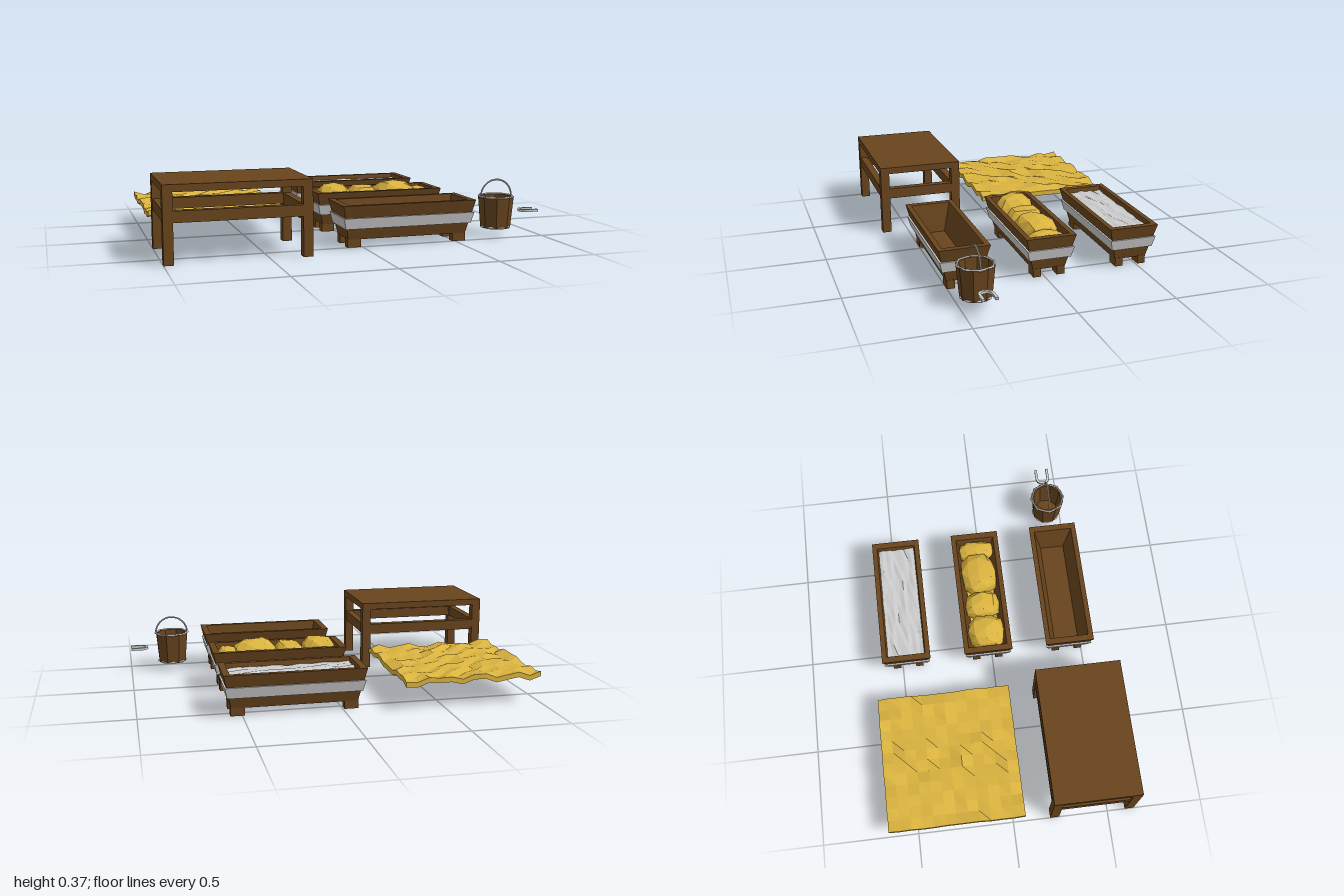
import * as THREE from 'three';

const WOOD = 0x68441d, STRAW = 0xdab33f, GREY = 0xcccccc;
const mat = (color) => new THREE.MeshStandardMaterial({ color, flatShading: true });
const wood = mat(WOOD), straw = mat(STRAW), grey = mat(GREY);

function add(parent, name, geo, material, x = 0, y = 0, z = 0) {
  const m = new THREE.Mesh(geo, material);
  m.name = name;
  m.position.set(x, y, z);
  parent.add(m);
  return m;
}
function group(parent, name, x = 0, y = 0, z = 0) {
  const g = new THREE.Group();
  g.name = name;
  g.position.set(x, y, z);
  parent.add(g);
  return g;
}
const box = (w, h, d) => new THREE.BoxGeometry(w, h, d);

// repeatable noise in -1..1 from a position
function noise(x, y, z) {
  const s = Math.sin(Math.round(x * 500) * 12.9898 + Math.round(y * 500) * 37.719 + Math.round(z * 500) * 78.233) * 43758.5453;
  return (s - Math.floor(s)) * 2 - 1;
}

// skin over rectangular rings [halfX, y, halfZ], ordered from the outside bottom upwards
function loft(rings) {
  const corner = [[1, 1], [1, -1], [-1, -1], [-1, 1]], pos = [];
  const p = ([hx, y, hz], k) => [corner[k % 4][0] * hx, y, corner[k % 4][1] * hz];
  for (let i = 0; i < rings.length - 1; i++) {
    for (let k = 0; k < 4; k++) {
      const a = p(rings[i], k), b = p(rings[i], k + 1), c = p(rings[i + 1], k + 1), d = p(rings[i + 1], k);
      pos.push(...a, ...b, ...c, ...a, ...c, ...d);
    }
  }
  const g = new THREE.BufferGeometry();
  g.setAttribute('position', new THREE.Float32BufferAttribute(pos, 3));
  g.computeVertexNormals();
  return g;
}

// slab whose top and bottom ripple together
function rippledSlab(w, h, d, nx, nz, amp) {
  const g = new THREE.BoxGeometry(w, h, d, nx, 1, nz), p = g.attributes.position;
  for (let i = 0; i < p.count; i++) {
    p.setY(i, p.getY(i) + amp * noise(p.getX(i), 0, p.getZ(i)));
  }
  g.computeVertexNormals();
  return g;
}

// faceted, slightly boxy heap
function lump(rx, ry, rz) {
  const g = new THREE.IcosahedronGeometry(1, 1), p = g.attributes.position;
  const bulge = (v) => Math.sign(v) * Math.pow(Math.abs(v), 0.75);
  for (let i = 0; i < p.count; i++) {
    const x = p.getX(i), y = p.getY(i), z = p.getZ(i);
    const r = 1 + 0.07 * noise(x + rx, y, z);
    p.setXYZ(i, bulge(x) * rx * r, y * ry * r, bulge(z) * rz * r);
  }
  g.computeVertexNormals();
  return g;
}

function buildTable(root) {
  const W = 0.705, D = 0.445, L = 0.047, t = group(root, 'table', -0.647, 0, 0.418);
  add(t, 'tableTop', box(W, 0.035, D), wood, 0, 0.3545, 0);
  for (const s of [-1, 1]) {
    for (const f of [-1, 1]) {
      add(t, 'tableLeg', box(L, 0.337, L), wood, s * (W - L) / 2, 0.1685, f * (D - L) / 2);
    }
    add(t, 'longRail', box(W - 2 * L, 0.055, 0.04), wood, 0, 0.2225, s * (D - L) / 2);
    add(t, 'shortRail', box(0.04, 0.055, D - 2 * L), wood, s * (W - L) / 2, 0.2225, 0);
  }
}

function buildTrough(root, name, z) {
  const t = group(root, name, 0.24, 0, z);
  add(t, 'troughBody', loft([
    [0, 0.04, 0], [0.315, 0.04, 0.084], [0.353, 0.216, 0.13],
    [0.32, 0.216, 0.104], [0.286, 0.065, 0.065], [0, 0.065, 0],
  ]), wood);
  add(t, 'metalBand', loft([
    [0.325, 0.096, 0.096], [0.335, 0.096, 0.109], [0.348, 0.152, 0.123],
    [0.337, 0.152, 0.11], [0.325, 0.096, 0.096],
  ]), grey);
  for (const s of [-1, 1]) {
    for (const f of [-1, 1]) {
      add(t, 'troughFoot', box(0.07, 0.045, 0.041), wood, s * 0.283, 0.0225, f * 0.062);
    }
  }
  return t;
}

function buildBucket(root) {
  const b = group(root, 'bucket', 0.77, 0, 0.418);
  const profile = [[0, 0.045], [0.078, 0.045], [0.093, 0.21], [0.079, 0.21], [0.066, 0.06], [0, 0.06]];
  const body = add(b, 'bucketBody', new THREE.LatheGeometry(profile.map(([r, y]) => new THREE.Vector2(r, y)), 8), wood);
  body.rotation.y = Math.PI / 8;
  // hoops at rim and foot
  for (const [r, y] of [[0.091, 0.209], [0.076, 0.049]]) {
    add(b, 'bucketHoop', new THREE.TorusGeometry(r, 0.006, 4, 8), grey, 0, y, 0).rotation.x = Math.PI / 2;
  }
  add(b, 'bucketHandle', new THREE.TorusGeometry(0.088, 0.0045, 6, 16, Math.PI), grey, 0, 0.209, 0);
}

function buildHorseshoe(root) {
  const R = 0.039, r = 0.025, s = new THREE.Shape();
  s.moveTo(0.056, R);
  s.lineTo(0, R);
  s.absarc(0, 0, R, Math.PI / 2, Math.PI * 1.5, false);
  s.lineTo(0.056, -R);
  s.lineTo(0.056, -r);
  s.lineTo(0, -r);
  s.absarc(0, 0, r, Math.PI * 1.5, Math.PI / 2, true);
  s.lineTo(0.056, r);
  const geo = new THREE.ExtrudeGeometry(s, { depth: 0.013, bevelEnabled: false, curveSegments: 8 });
  add(root, 'horseshoe', geo, grey, 0.943, 0.121, 0.418).rotation.x = -Math.PI / 2;
}

export function createModel() {
  const root = new THREE.Group();
  root.name = 'stableFurniture';

  buildTable(root);
  add(root, 'strawMat', rippledSlab(0.705, 0.026, 0.705, 12, 12, 0.012), straw, -0.647, 0.14, -0.292);

  buildTrough(root, 'emptyTrough', 0.418);
  const feed = buildTrough(root, 'feedTrough', -0.025);
  const water = buildTrough(root, 'waterTrough', -0.468);

  // four heaps of feed
  for (const [x, rx, ry] of [[-0.225, 0.094, 0.088], [-0.062, 0.076, 0.074], [0.118, 0.115, 0.092], [0.265, 0.055, 0.055]]) {
    add(feed, 'feedHeap', lump(rx, ry, 0.1), straw, x, 0.166, 0);
  }
  add(feed, 'feedBed', box(0.6, 0.07, 0.15), straw, 0, 0.11, 0);
  add(water, 'waterSurface', rippledSlab(0.632, 0.02, 0.198, 10, 10, 0.005), grey, 0, 0.183, 0);

  // hay mat, troughs and bucket already sit centred on the ground
  buildBucket(root);
  buildHorseshoe(root);
  return root;
}
